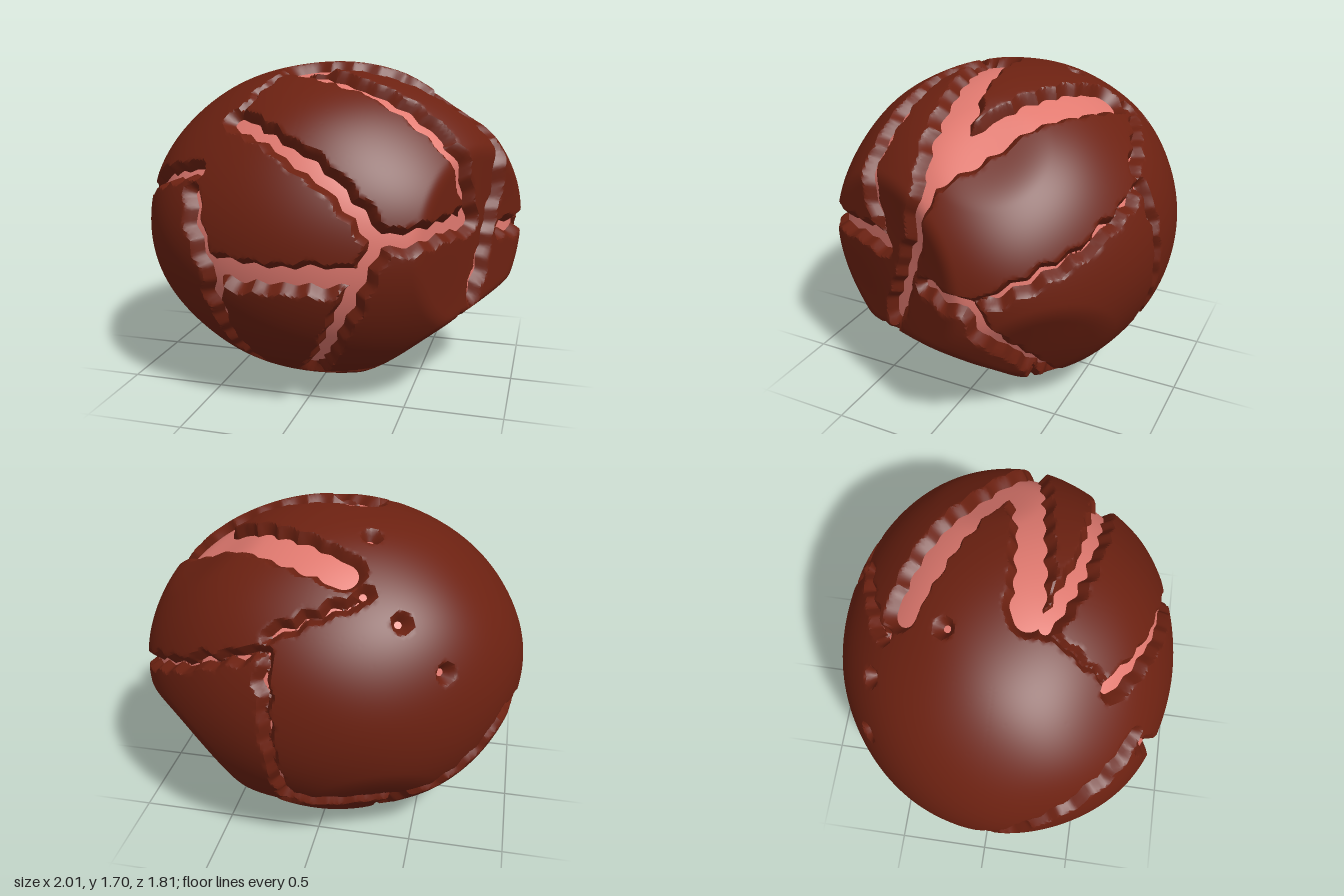
import * as THREE from 'three';
import { mergeVertices, toCreasedNormals } from 'three/addons/utils/BufferGeometryUtils.js';

const CENTER = new THREE.Vector3(0, 0.85, 0);
const RADII = [1, 0.85, 0.9];
const CORE_DEPTH = 0.055, BEVEL = 0.036;

// Flat faces worn into the boulder: normal and distance from the centre
const FACETS = [
  [0.913, 0, 0.407, 0.84], [0.6, -0.79, 0.12, 0.8], [0.62, -0.5, -0.6, 0.88],
  [0.55, 0.8, -0.2, 0.87], [-0.3, -0.6, -0.74, 0.86],
].map(([x, y, z, c]) => {
  const l = Math.hypot(x, y, z);
  return { n: [x / l, y / l, z / l], c: c / l };
});

// Broad swellings: direction and height
const BULGES = [
  { dir: new THREE.Vector3(-0.7, 0, 0.7).normalize(), height: 0.035 },
  { dir: new THREE.Vector3(0.9, 0, -0.43).normalize(), height: 0.038 },
];

// Axis order for each side the cracks are laid out on: [first, second, projected, sign]
const SIDES = {
  front: [0, 1, 2, 1], back: [0, 1, 2, -1], right: [2, 1, 0, 1],
  left: [2, 1, 0, -1], top: [0, 2, 1, 1], bottom: [0, 2, 1, -1],
};

// Half widths of the cracks; a slit is too shallow to reach the core
const WIDE = 0.075, BROAD = 0.045, MEDIUM = 0.031, NARROW = 0.02, THIN = 0.005, SLIT = -0.008;

// Main corners of the cracks on each side
const CRACKS = {
  front: [
    [NARROW, [-0.97, 0.94], [-0.8, 1.1], [-0.49, 1.2]],
    [NARROW, [-0.5, 1.1], [-0.38, 0.77]],
    [BROAD, [-0.36, 0.76], [0.32, 0.76]],
    [MEDIUM, [0.43, 0.95], [0.25, 0.55], [0, 0.12]],
    [MEDIUM, [0.43, 0.95], [0.2, 1.2], [-0.36, 1.45]],
    [NARROW, [-0.38, 0.74], [-0.29, 0.18]],
    [SLIT, [-0.85, 0.33], [-0.3, 0.14]],
    [SLIT, [0, 0.1], [0.76, 0.45]],
  ],
  right: [
    [MEDIUM, [0.81, 0.93], [0.3, 0.95], [0.42, 1.3], [0.4, 1.48]],
    [MEDIUM, [0.02, 1.33], [0.06, 1.1], [0.26, 0.55]],
    [SLIT, [0.26, 0.55], [0.28, 0.08]],
    [NARROW, [0.01, 0.84], [-0.26, 0.84], [-0.45, 0.2]],
    [THIN, [-0.26, 0.84], [-0.7, 1.08]],
  ],
  top: [
    [MEDIUM, [-0.17, 0.21], [0.3, 0.37], [0.66, 0.4]],
    [WIDE, [-0.13, 0.12], [0.75, 0]],
    [WIDE, [0.78, 0], [0.5, -0.2], [-0.14, -0.5]],
    [SLIT, [-0.18, 0.2], [-0.33, 0.5]],
    [THIN, [-0.23, -0.6], [0.17, -0.75]],
  ],
  back: [
    [THIN, [0.56, 1.09], [0.17, 1.23], [0.1, 0.4]],
    [MEDIUM, [0.1, 0.4], [-0.43, 0.36]],
  ],
  left: [[MEDIUM, [0.2, 0.92], [-0.05, 0.72], [-0.31, 0.74], [-0.58, 0.38]]],
  bottom: [
    [NARROW, [-0.45, -0.56], [0.1, -0.1], [0.25, 0.28]],
    [SLIT, [0.62, -0.44], [0.1, -0.1]],
    [MEDIUM, [0.1, -0.68], [0.28, -0.56]],
  ],
};

// Small round holes in the top
const PITS = [[-0.23, -0.27], [-0.25, -0.57], [-0.43, -0.61], [-0.65, -0.62]];

// Point on the boulder under a side's two coordinates, as a unit direction from the centre
function project(side, a, b) {
  const [i, j, k, sign] = SIDES[side];
  const p = [0, 0, 0];
  p[i] = a;
  p[j] = b;
  if (k !== 1) p[1] -= CENTER.y;
  const rest = 1 - (p[i] / RADII[i]) ** 2 - (p[j] / RADII[j]) ** 2;
  let t = RADII[k] * Math.sqrt(Math.max(rest, 0));
  for (const { n, c } of FACETS) {
    const nk = n[k] * sign;
    if (nk > 0.3) t = Math.min(t, (c - n[i] * p[i] - n[j] * p[j]) / nk);
  }
  p[k] = t * sign;
  return new THREE.Vector3(...p).normalize();
}

// Boulder radius: a swollen ellipsoid trimmed by the facets, with gentle lumps
function radius(d) {
  let r = 1 / Math.hypot(d.x / RADII[0], d.y / RADII[1], d.z / RADII[2]);
  for (const { dir, height } of BULGES) r += height * Math.max(d.dot(dir), 0) ** 6;
  for (const { n, c } of FACETS) {
    const dot = n[0] * d.x + n[1] * d.y + n[2] * d.z;
    if (dot <= 0.2) continue;
    const q = c / dot, h = Math.max(0.025 - Math.abs(r - q), 0);
    r = Math.min(r, q) - (h * h) / 0.1;
  }
  return r + 0.008 * Math.sin(5 * d.x + 2 * d.z) * Math.sin(6 * d.y + 1) * Math.cos(5 * d.z);
}

// Split every crack into short zigzag pieces of uneven width
function buildSegments() {
  let seed = 7;
  const rand = () => (seed = (seed * 16807) % 2147483647) / 2147483647;
  const segments = [];
  for (const side in CRACKS) {
    for (const [width, ...points] of CRACKS[side]) {
      const corners = points.map(([a, b]) => project(side, a, b));
      const path = [{ p: corners[0], w: width }];
      for (let i = 1; i < corners.length; i++) {
        const start = corners[i - 1], end = corners[i];
        const steps = Math.max(1, Math.round(start.distanceTo(end) / 0.075));
        const across = new THREE.Vector3().crossVectors(start, end).normalize();
        for (let s = 1; s < steps; s++) {
          const shift = (s % 2 ? 1 : -1) * (0.006 + 0.014 * rand());
          const p = start.clone().lerp(end, s / steps).normalize();
          path.push({ p: p.addScaledVector(across, shift).normalize(), w: width + 0.016 * (rand() - 0.5) });
        }
        path.push({ p: end, w: width });
      }
      for (let i = 1; i < path.length; i++) {
        const a = path[i - 1], b = path[i], ab = b.p.clone().sub(a.p);
        segments.push({ a, b, ab, len2: ab.lengthSq() });
      }
    }
  }
  for (const [x, z] of PITS) {
    const a = { p: project('top', x, z), w: NARROW };
    segments.push({ a, b: a, ab: new THREE.Vector3(), len2: 1 });
  }
  return segments;
}

// Depth of the crust groove at a direction
function grooveDepth(d, r, segments) {
  const v = new THREE.Vector3();
  let gap = 1;
  for (const { a, b, ab, len2 } of segments) {
    if (d.dot(a.p) < 0.9) continue;
    const t = THREE.MathUtils.clamp(v.subVectors(d, a.p).dot(ab) / len2, 0, 1);
    v.copy(a.p).addScaledVector(ab, t).normalize();
    gap = Math.min(gap, v.distanceTo(d) * r - (a.w + (b.w - a.w) * t));
  }
  return CORE_DEPTH * THREE.MathUtils.clamp(1 - gap / BEVEL, 0, 1.5);
}

// Sphere reshaped by a radius rule
function shapedSphere(detail, rule) {
  const raw = new THREE.IcosahedronGeometry(1, detail);
  raw.deleteAttribute('uv');
  raw.deleteAttribute('normal');
  const geometry = mergeVertices(raw, 1e-5);
  const pos = geometry.attributes.position, d = new THREE.Vector3();
  for (let i = 0; i < pos.count; i++) {
    d.fromBufferAttribute(pos, i).normalize();
    d.multiplyScalar(rule(d)).add(CENTER);
    pos.setXYZ(i, d.x, d.y, d.z);
  }
  return toCreasedNormals(geometry, 0.5);
}

export function createModel() {
  const group = new THREE.Group();
  group.name = 'crackedBoulder';
  const segments = buildSegments();

  // Dark crust with grooves cut through it
  const crust = new THREE.Mesh(
    shapedSphere(74, (d) => {
      const r = radius(d);
      return r - grooveDepth(d, r, segments);
    }),
    new THREE.MeshStandardMaterial({ color: 0x6c2111 }),
  );
  crust.name = 'crust';

  // Molten core showing in the grooves
  const core = new THREE.Mesh(
    shapedSphere(36, (d) => radius(d) - CORE_DEPTH),
    new THREE.MeshStandardMaterial({ color: 0xe27a70 }),
  );
  core.name = 'moltenCore';

  group.add(crust, core);
  return group;
}
